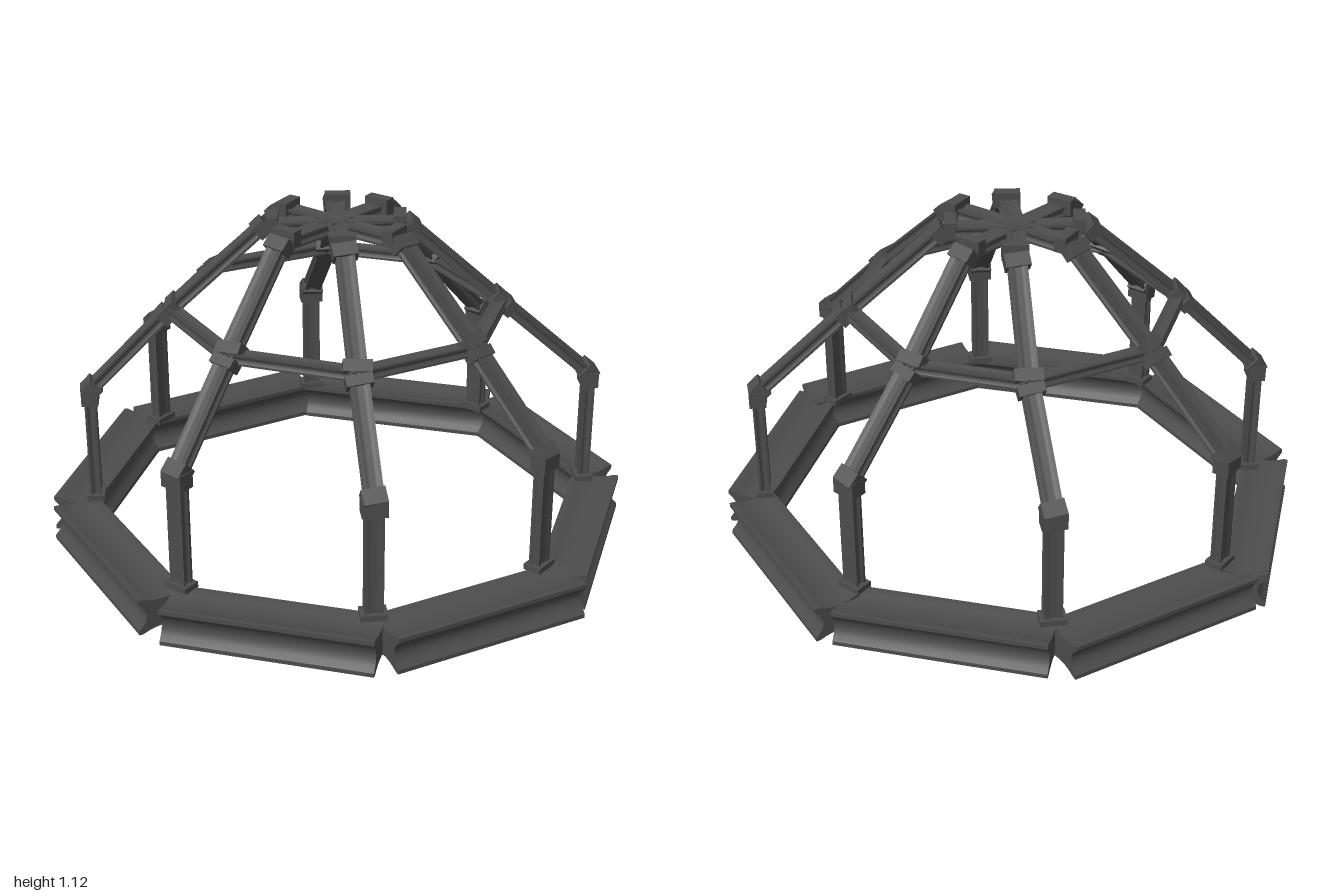
import * as THREE from 'three';
import { toCreasedNormals } from 'three/addons/utils/BufferGeometryUtils.js';

const V = (x, y, z) => new THREE.Vector3(x, y, z);
const UP = V(0, 1, 0);
const steel = new THREE.MeshStandardMaterial({ color: 0x4c4c4c });
steel.name = 'dark steel';

// Cross-section of a girder: four flanged corners with hollowed sides
function girderShape(w, h, lip, hollowX, hollowY) {
  const x = w / 2, y = h / 2, s = new THREE.Shape();
  s.moveTo(-x, -y);
  s.lineTo(-x + lip, -y);
  s.quadraticCurveTo(0, -y + hollowY * 2, x - lip, -y);
  s.lineTo(x, -y);
  s.lineTo(x, -y + lip);
  s.quadraticCurveTo(x - hollowX * 2, 0, x, y - lip);
  s.lineTo(x, y);
  s.lineTo(x - lip, y);
  s.quadraticCurveTo(0, y - hollowY * 2, -x + lip, y);
  s.lineTo(-x, y);
  s.lineTo(-x, y - lip);
  s.quadraticCurveTo(-x + hollowX * 2, 0, -x, -y + lip);
  return s;
}

// Place a mesh with local z along dir and local y near up
function orient(mesh, origin, dir, up) {
  const z = dir.clone().normalize();
  const x = up.clone().cross(z).normalize();
  const y = z.clone().cross(x);
  mesh.quaternion.setFromRotationMatrix(new THREE.Matrix4().makeBasis(x, y, z));
  mesh.position.copy(origin);
  return mesh;
}

function beam(parent, name, a, b, up, shape) {
  const dir = b.clone().sub(a);
  const geo = new THREE.ExtrudeGeometry(shape, {
    depth: dir.length(), bevelEnabled: false, curveSegments: 6,
  });
  const mesh = orient(new THREE.Mesh(toCreasedNormals(geo, 0.6), steel), a, dir, up);
  mesh.name = name;
  parent.add(mesh);
}

// Clamp block around a beam, slightly twisted
function collar(parent, name, at, dir, up, w, h, len, twist = 0) {
  const mesh = orient(new THREE.Mesh(new THREE.BoxGeometry(w, h, len), steel), at, dir, up);
  mesh.rotateY(twist);
  mesh.name = name;
  parent.add(mesh);
}

// Outer edges of the base girders: x, z of both ends
const baseEdges = [
  [0, -0.96, 0.63, -0.73], [0.69, -0.68, 0.97, -0.06],
  [0.995, -0.02, 0.74, 0.6], [0.695, 0.66, 0.085, 0.957],
  [0, 0.96, -0.64, 0.74], [-0.69, 0.695, -0.995, 0.08],
  [-0.98, 0.05, -0.74, -0.59], [-0.67, -0.64, -0.05, -0.94],
];

// Joints of each rib in plan: knee x, z, middle x, z, crown x, z
const ribs = [
  [-0.01, -0.79, -0.02, -0.51, -0.005, -0.22], [0.59, -0.6, 0.38, -0.37, 0.15, -0.15],
  [0.82, -0.01, 0.54, -0.01, 0.23, -0.015], [0.6, 0.55, 0.385, 0.37, 0.14, 0.15],
  [0.04, 0.81, 0, 0.53, -0.04, 0.235], [-0.59, 0.59, -0.395, 0.395, -0.18, 0.16],
  [-0.835, 0.045, -0.54, 0.035, -0.235, 0.015], [-0.6, -0.53, -0.365, -0.355, -0.15, -0.155],
];

export function createModel() {
  const model = new THREE.Group();
  model.name = 'domeFrame';
  const baseShape = girderShape(0.155, 0.125, 0.014, 0.028, 0.014);
  const ribShape = girderShape(0.06, 0.038, 0.008, 0.007, 0.005);
  const ringShape = girderShape(0.045, 0.036, 0.007, 0.006, 0.005);
  const hub = V(-0.02, 1.08, 0.005);

  // Base ring of heavy girders
  for (const [x1, z1, x2, z2] of baseEdges) {
    const a = V(x1, 0.0625, z1), b = V(x2, 0.0625, z2);
    const inward = b.clone().sub(a).normalize().cross(UP).multiplyScalar(0.0775);
    if (inward.dot(a) > 0) inward.negate();
    beam(model, 'baseGirder', a.add(inward), b.add(inward), UP, baseShape);
  }

  const middles = ribs.map((r) => V(r[2], 0.805, r[3]));
  ribs.forEach(([kx, kz, , , cx, cz], i) => {
    const rib = new THREE.Group();
    rib.name = 'rib';
    const knee = V(kx, 0.525, kz), foot = V(kx, 0.11, kz);
    const mid = middles[i], crown = V(cx, 1.09, cz);
    const out = V(kx, 0, kz).normalize(), slope = out.clone().add(UP);
    const lower = mid.clone().sub(knee), upper = crown.clone().sub(mid);
    const twist = i % 2 ? 0.1 : -0.1;

    // Post, two sloping lengths and the spoke to the hub
    beam(rib, 'post', foot, knee, out, ribShape);
    beam(rib, 'lowerRib', knee, mid, slope, ribShape);
    beam(rib, 'upperRib', mid, crown, slope, ribShape);
    beam(rib, 'spoke', V(cx, 1.08, cz), hub, UP, ribShape);

    // Foot plate
    collar(rib, 'footPlate', V(kx, 0.133, kz), UP, out, 0.085, 0.06, 0.02);
    // Knee clamps
    collar(rib, 'kneeClamp', V(kx, 0.508, kz), UP, out, 0.08, 0.056, 0.055);
    collar(rib, 'kneeClamp', knee.clone().addScaledVector(lower, 0.02), lower, slope, 0.074, 0.056, 0.05, twist);
    // Middle clamps
    const m = lower.clone().normalize();
    collar(rib, 'middleClamp', mid.clone().addScaledVector(m, -0.025), m, slope, 0.085, 0.05, 0.034, twist);
    collar(rib, 'middleClamp', mid.clone().addScaledVector(m, 0.02), m, slope, 0.09, 0.05, 0.04, -twist);
    // Crown clamps
    const u = upper.clone().normalize();
    collar(rib, 'crownClamp', crown.clone().addScaledVector(u, -0.022), u, slope, 0.08, 0.05, 0.045, twist);
    collar(rib, 'crownClamp', V(cx, 1.095, cz).addScaledVector(out, -0.02), out, UP, 0.085, 0.052, 0.04, -twist);
    model.add(rib);

    // Bar of the middle ring
    beam(model, 'ringBar', mid, middles[(i + 1) % ribs.length], UP, ringShape);
  });
  return model;
}
